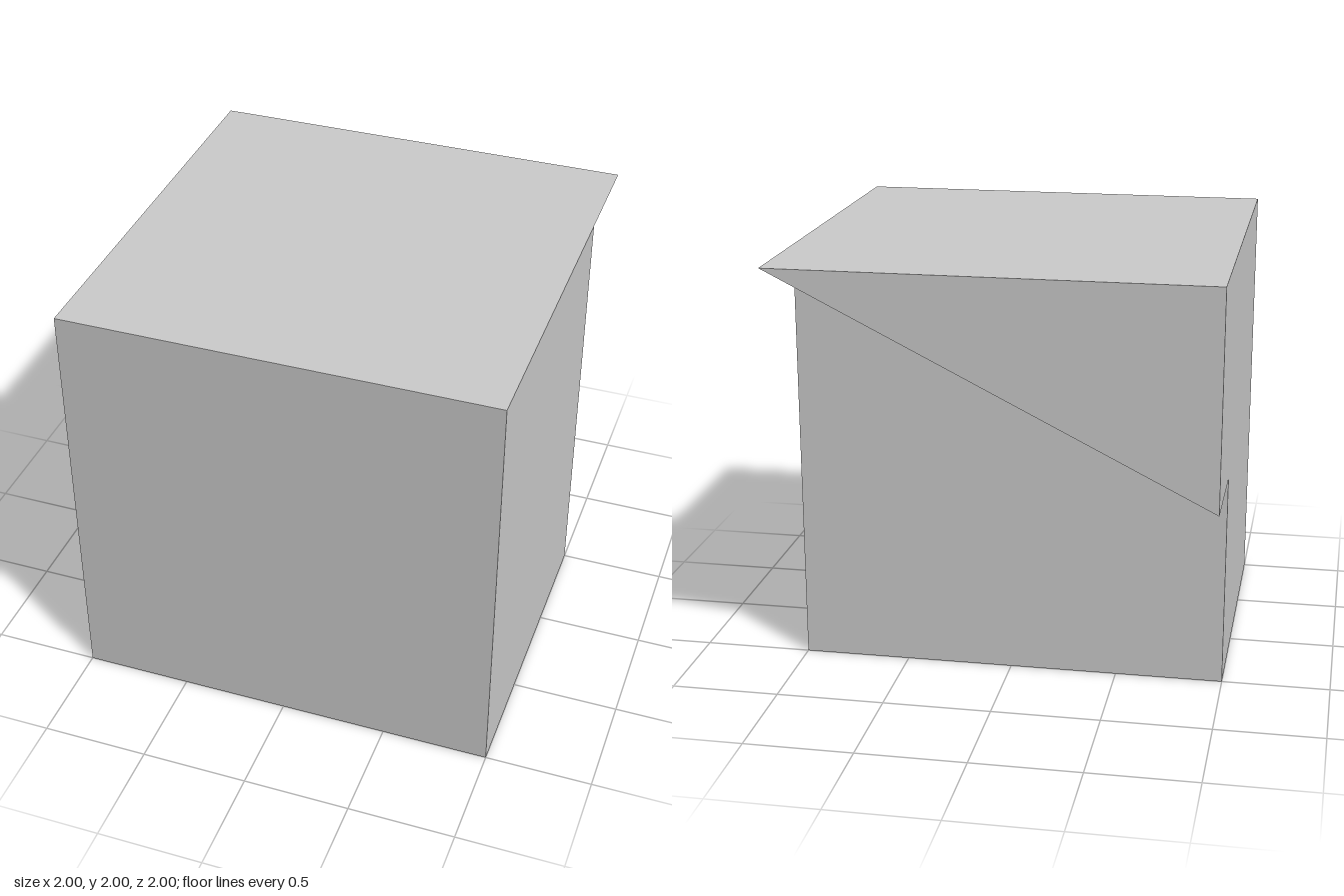
import * as THREE from 'three';

export function createModel() {
  const group = new THREE.Group();
  const material = new THREE.MeshStandardMaterial({ color: 0xcccccc, flatShading: true });

  const add = (name, geometry, x, y, z) => {
    const mesh = new THREE.Mesh(geometry, material);
    mesh.name = name;
    mesh.position.set(x, y, z);
    group.add(mesh);
  };

  // Main block, set forward to leave room for the wedge
  add('block', new THREE.BoxGeometry(2, 2, 1.5), 0, 1, 0.25);

  // Triangular wedge on the back: deep at -x, running out to an edge at +x
  const profile = new THREE.Shape([
    new THREE.Vector2(-1, 1),
    new THREE.Vector2(1, 2),
    new THREE.Vector2(-1, 2),
  ]);
  add('backWedge', new THREE.ExtrudeGeometry(profile, { depth: 0.5, bevelEnabled: false }), 0, 0, -1);

  return group;
}
